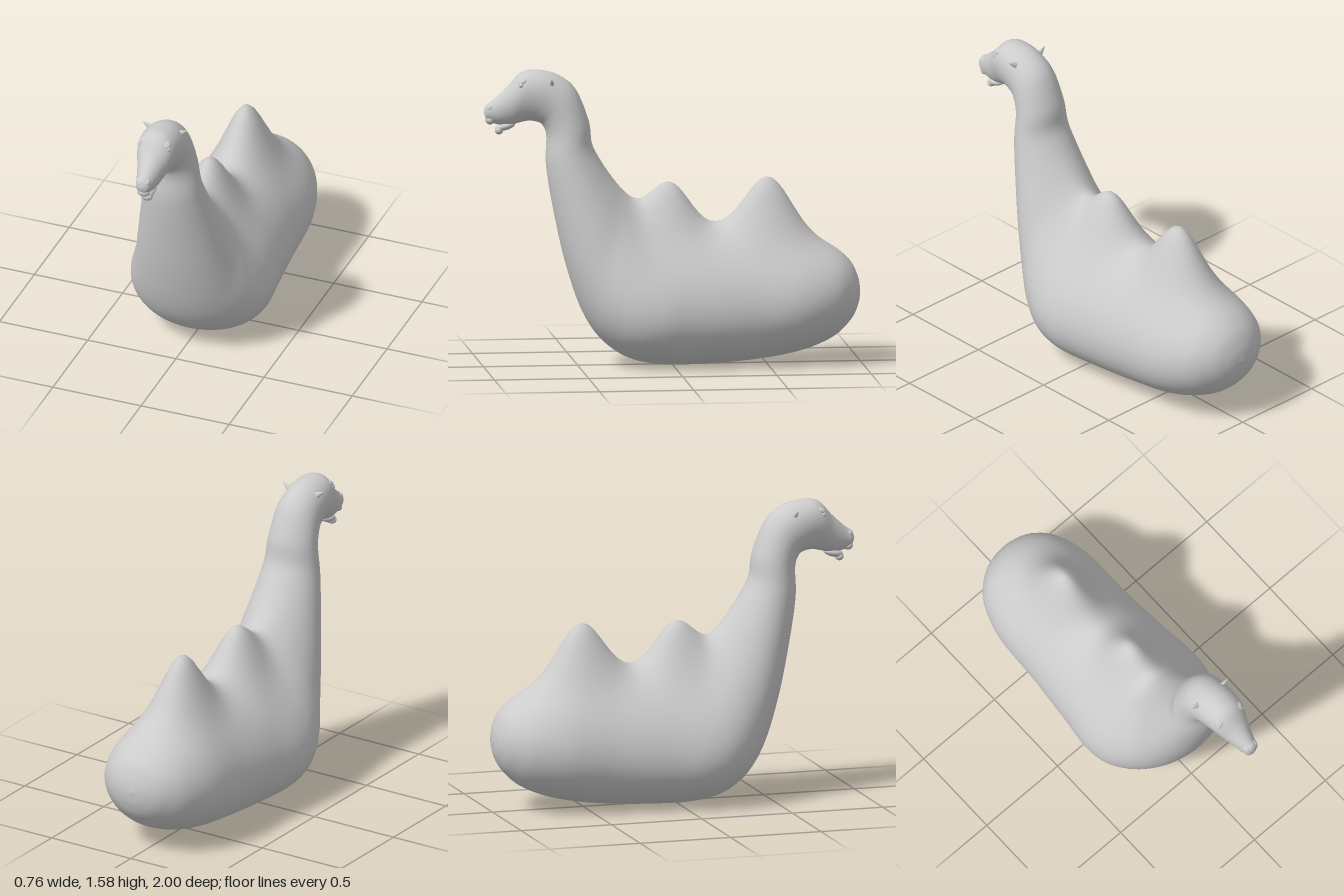
import * as THREE from 'three';

const material = new THREE.MeshStandardMaterial({ color: 0xcccccc, roughness: 0.8 });

// Rings from tail to muzzle: underside z,y | topside z,y | half width | taper toward the topside
const RINGS = [
  [-1.0, 0.379, -1.0, 0.381, 0.002, 0],
  [-0.985, 0.3, -0.985, 0.46, 0.09, 0],
  [-0.94, 0.217, -0.94, 0.545, 0.182, 0],
  [-0.84, 0.13, -0.84, 0.62, 0.27, 0.04],
  [-0.66, 0.062, -0.66, 0.675, 0.325, 0.1],
  [-0.4, 0.02, -0.4, 0.705, 0.335, 0.16],
  [-0.1, 0.003, -0.12, 0.735, 0.36, 0.23],
  [0.1, 0.01, 0.03, 0.745, 0.38, 0.28],
  [0.25, 0.05, 0.13, 0.785, 0.368, 0.3],
  [0.38, 0.145, 0.2, 0.845, 0.325, 0.26],
  [0.48, 0.3, 0.26, 0.92, 0.272, 0.2],
  [0.565, 0.55, 0.325, 1.01, 0.228, 0.12],
  [0.63, 0.84, 0.38, 1.095, 0.188, 0.05],
  [0.667, 1.07, 0.425, 1.185, 0.158, 0],
  [0.666, 1.225, 0.443, 1.31, 0.139, 0],
  [0.687, 1.286, 0.515, 1.48, 0.125, 0],
  [0.72, 1.305, 0.615, 1.557, 0.117, -0.05],
  [0.765, 1.31, 0.72, 1.58, 0.111, -0.15],
  [0.815, 1.3, 0.8, 1.568, 0.098, -0.2],
  [0.87, 1.287, 0.875, 1.49, 0.071, -0.12],
  [0.94, 1.297, 0.95, 1.422, 0.048, 0],
  [0.984, 1.322, 0.986, 1.396, 0.034, 0],
  [0.998, 1.357, 0.998, 1.359, 0.001, 0],
];

// Humps raised out of the back: z, height, length
const HUMPS = [
  [0.015, 0.23, 0.145],
  [-0.51, 0.298, 0.17],
];

function bodyGeometry(steps = 190, sides = 72) {
  const spline = (k) => new THREE.CatmullRomCurve3(
    RINGS.map((r) => new THREE.Vector3(r[k], r[k + 1], r[k + 2])), false, 'catmullrom', 0.5);
  const first = spline(0), second = spline(3);
  const positions = [], index = [];
  for (let i = 0; i <= steps; i++) {
    const a = first.getPoint(i / steps), b = second.getPoint(i / steps);
    const [bz, by, tz, ty, w, taper] = [a.x, a.y, a.z, b.x, b.y, b.z];
    // widest value of the tapered section, so w stays the true half width
    let peak = 0;
    for (let n = 0; n < 60; n++) {
      const t = (n / 60) * Math.PI;
      peak = Math.max(peak, Math.sin(t) * (1 + taper * Math.cos(t)));
    }
    for (let j = 0; j < sides; j++) {
      const t = (j / sides) * Math.PI * 2, u = -Math.cos(t), f = (u + 1) / 2;
      const x = (w * Math.sin(t) * (1 - taper * u)) / peak;
      const z = bz + (tz - bz) * f;
      let y = by + (ty - by) * f;
      const lift = THREE.MathUtils.smoothstep(u, -0.1, 0.7);
      for (const [hz, height, length] of HUMPS) {
        y += lift * height * Math.exp(-((x / 0.135) ** 2) - ((z - hz) / length) ** 2);
      }
      positions.push(x, y, z);
      if (i < steps) {
        const p = i * sides + j, q = i * sides + ((j + 1) % sides);
        index.push(p, q, p + sides, q, q + sides, p + sides);
      }
    }
  }
  const geometry = new THREE.BufferGeometry();
  geometry.setAttribute('position', new THREE.Float32BufferAttribute(positions, 3));
  geometry.setIndex(index);
  geometry.computeVertexNormals();
  return geometry;
}

export function createModel() {
  const group = new THREE.Group();
  const add = (name, geometry, position, scale = [1, 1, 1], rotation = [0, 0, 0]) => {
    const mesh = new THREE.Mesh(geometry, material);
    mesh.name = name;
    mesh.position.set(...position);
    mesh.scale.set(...scale);
    mesh.rotation.set(...rotation);
    group.add(mesh);
  };
  const ball = new THREE.SphereGeometry(1, 24, 16);

  // Body, humps, neck and head in one smooth skin
  add('body', bodyGeometry(), [0, 0, 0]);

  // Mouth
  add('lowerJaw', ball, [0, 1.283, 0.885], [0.036, 0.022, 0.055], [0.25, 0, 0]);
  add('lowerLip', ball, [0, 1.262, 0.918], [0.032, 0.023, 0.022]);
  add('upperLip', ball, [0, 1.318, 0.965], [0.036, 0.025, 0.026]);

  // Paired features
  const ear = new THREE.ConeGeometry(0.022, 0.06, 12);
  for (const [side, s] of [['left', 1], ['right', -1]]) {
    add(side + 'Ear', ear, [s * 0.105, 1.528, 0.65], [1, 1, 0.7], [0.15, 0, -s]);
    add(side + 'Brow', ball, [s * 0.072, 1.53, 0.8], [0.02, 0.011, 0.024], [0.5, 0, -s * 0.5]);
    add(side + 'Eye', ball, [s * 0.08, 1.508, 0.808], [0.014, 0.014, 0.014]);
    add(side + 'Nostril', ball, [s * 0.024, 1.382, 0.966], [0.016, 0.018, 0.022], [0.5, 0, 0]);
  }
  return group;
}
